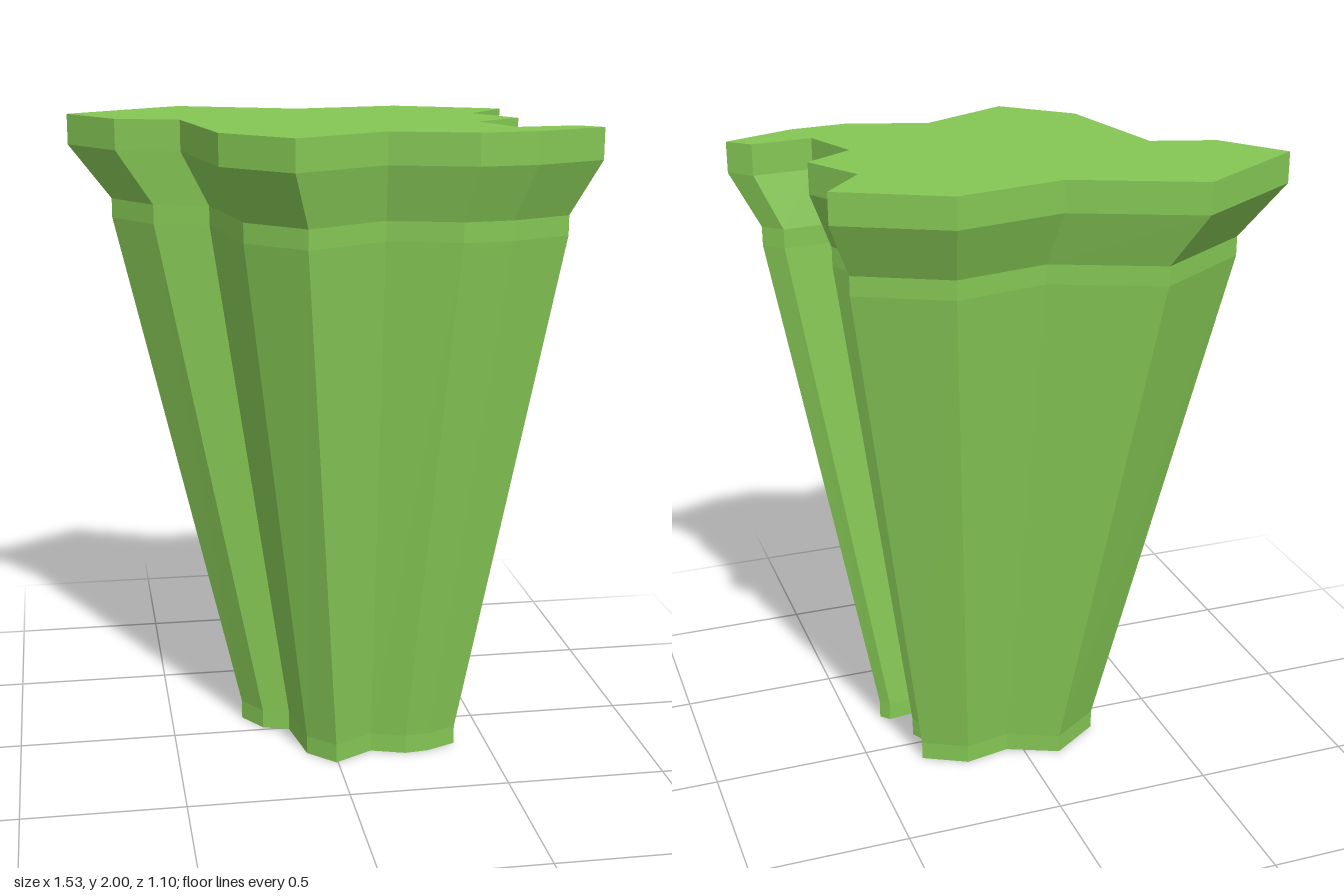
import * as THREE from 'three';

// Jagged outline (x, z) of the top slab, clockwise seen from above
const OUTLINE = [
  [-0.77, -0.313], [-0.405, -0.55], [-0.03, -0.39], [0.305, -0.453],
  [0.62, -0.29], [0.493, -0.138], [0.593, 0.042], [0.443, 0.14],
  [0.513, 0.323], [0.70, 0.305], [0.765, 0.365], [0.545, 0.455],
  [0.37, 0.473], [0.12, 0.395], [-0.167, 0.545], [-0.36, 0.362],
  [-0.435, -0.055], [-0.63, -0.115],
];

// Outline scaled and shifted for one height
const ring = (y, sx, dx, sz, dz) =>
  OUTLINE.map(([x, z]) => [x * sx + dx, y, z * sz + dz]);

const foot = [0.43, 0.066, 0.445, 0.035];
const neck = [0.86, 0.022, 0.857, 0.01];
const rim = [1, 0, 1, 0];

// Wall joining a stack of rings, from the lowest to the highest
function wallGeometry(rings) {
  const pos = [];
  for (let r = 0; r < rings.length - 1; r++) {
    const low = rings[r], high = rings[r + 1];
    for (let i = 0; i < low.length; i++) {
      const j = (i + 1) % low.length;
      pos.push(...low[j], ...low[i], ...high[i], ...low[j], ...high[i], ...high[j]);
    }
  }
  const g = new THREE.BufferGeometry();
  g.setAttribute('position', new THREE.Float32BufferAttribute(pos, 3));
  g.computeVertexNormals();
  return g;
}

// Flat lid filling a ring; side is 1 for facing up, -1 for facing down
function lidGeometry(points, side) {
  const shape = new THREE.Shape(points.map(([x, , z]) => new THREE.Vector2(x, -side * z)));
  return new THREE.ShapeGeometry(shape)
    .rotateX(-side * Math.PI / 2)
    .translate(0, points[0][1], 0);
}

export function createModel() {
  const group = new THREE.Group();
  const green = new THREE.MeshStandardMaterial({ color: 0x84c654, flatShading: true });
  const add = (name, geometry) => {
    const mesh = new THREE.Mesh(geometry, green);
    mesh.name = name;
    group.add(mesh);
  };

  const base = ring(0, ...foot);
  const collar = ring(1.74, ...neck);
  const top = ring(2, ...rim);

  // Tapering column with short upright bands at both ends
  add('column', wallGeometry([base, ring(0.06, ...foot), ring(1.68, ...neck), collar]));
  // Flared underside and upright edge of the slab
  add('rim', wallGeometry([collar, ring(1.905, ...rim), top]));
  add('topSurface', lidGeometry(top, 1));
  add('underside', lidGeometry(base, -1));
  return group;
}
